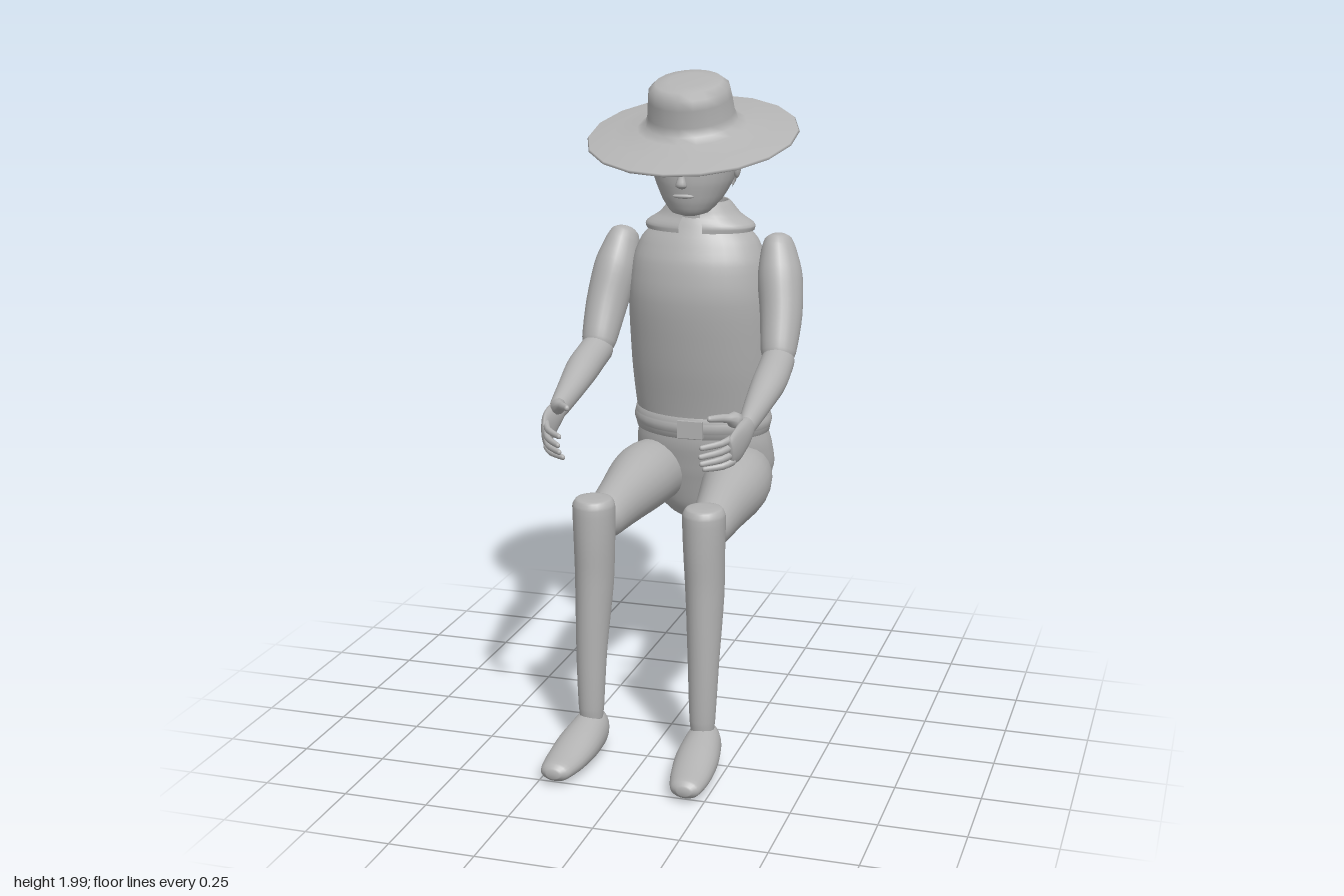
import * as THREE from 'three';

const grey = new THREE.MeshStandardMaterial({ color: 0xb2b2b2, side: THREE.DoubleSide });
grey.name = 'plain grey';
const UP = new THREE.Vector3(0, 1, 0);

// Smooth skin over elliptical sections [x, y, z, halfWidth, halfDepth].
// axis: fixed ring normal, otherwise rings follow the path. round: bulge of the end caps.
// gap: opening at the front of the rings, which also leaves the ends open.
function loft(name, list, { axis, round = 0, gap = 0, sides = 24, steps = 4 } = {}) {
  let secs = list.map((s) => [...s]);
  if (round) {
    const end = (a, b) => {
      const d = new THREE.Vector3(a[0] - b[0], a[1] - b[1], a[2] - b[2]).normalize();
      const r = Math.min(a[3], a[4]) * round;
      return [[0.65, 0.78], [0.92, 0.42], [1, 0.1]].map(([o, k]) =>
        [a[0] + d.x * r * o, a[1] + d.y * r * o, a[2] + d.z * r * o, a[3] * k, a[4] * k]);
    };
    const n = secs.length;
    secs = [...end(secs[0], secs[1]).reverse(), ...secs, ...end(secs[n - 1], secs[n - 2])];
  }
  const path = new THREE.CatmullRomCurve3(secs.map((s) => new THREE.Vector3(s[0], s[1], s[2])));
  const radii = new THREE.CatmullRomCurve3(secs.map((s) => new THREE.Vector3(s[3], s[4], 0)));
  const rings = (secs.length - 1) * steps;
  const cols = gap ? sides + 1 : sides;
  const pos = [], index = [];
  for (let i = 0; i <= rings; i++) {
    const p = path.getPoint(i / rings), r = radii.getPoint(i / rings);
    const t = axis || path.getTangent(i / rings);
    const u = new THREE.Vector3(1, 0, 0).addScaledVector(t, -t.x).normalize();
    const v = new THREE.Vector3().crossVectors(t, u);
    for (let j = 0; j < cols; j++) {
      const a = -Math.PI / 2 + gap + (j / sides) * (Math.PI * 2 - gap * 2);
      const q = p.clone().addScaledVector(u, Math.cos(a) * r.x).addScaledVector(v, Math.sin(a) * r.y);
      pos.push(q.x, q.y, q.z);
    }
  }
  for (let i = 0; i < rings; i++) for (let j = 0; j < sides; j++) {
    const k = (j + 1) % cols, a = i * cols, b = a + cols;
    index.push(a + j, a + k, b + j, a + k, b + k, b + j);
  }
  if (!gap) {
    const c = pos.length / 3, last = rings * cols;
    const p0 = path.getPoint(0), p1 = path.getPoint(1);
    pos.push(p0.x, p0.y, p0.z, p1.x, p1.y, p1.z);
    for (let j = 0; j < sides; j++) {
      const k = (j + 1) % cols;
      index.push(c, k, j, c + 1, last + j, last + k);
    }
  }
  const g = new THREE.BufferGeometry();
  g.setAttribute('position', new THREE.Float32BufferAttribute(pos, 3));
  g.setIndex(index);
  g.computeVertexNormals();
  return mesh(name, g);
}

function mesh(name, geometry, x = 0, y = 0, z = 0) {
  const m = new THREE.Mesh(geometry, grey);
  m.name = name;
  m.position.set(x, y, z);
  return m;
}

function makeHat() {
  const profile = [[0, 0.163], [0.06, 0.163], [0.1, 0.158], [0.121, 0.14], [0.126, 0.11], [0.131, 0.06],
    [0.14, 0.035], [0.165, 0.022], [0.24, 0.008], [0.315, -0.004], [0.319, -0.01], [0.313, -0.014],
    [0.22, -0.006], [0.13, 0.008], [0.11, 0.11], [0, 0.14]].reverse();
  const hat = mesh('hat', new THREE.LatheGeometry(profile.map(([x, y]) => new THREE.Vector2(x, y)), 18),
    0, 1.818, -0.215);
  hat.rotation.x = 0.27;
  return hat;
}

function makeHead() {
  const head = new THREE.Group();
  head.name = 'head';
  head.add(loft('skull', [
    [0, 1.572, -0.185, 0.02, 0.02], [0, 1.582, -0.19, 0.055, 0.055], [0, 1.62, -0.215, 0.09, 0.098],
    [0, 1.68, -0.235, 0.12, 0.13], [0, 1.75, -0.242, 0.132, 0.14], [0, 1.81, -0.238, 0.122, 0.125],
    [0, 1.86, -0.21, 0.07, 0.07]], { axis: UP }));
  // Hair wraps the back half of the skull
  head.add(loft('hair', [
    [0, 1.655, -0.231, 0.116, 0.126], [0, 1.67, -0.236, 0.124, 0.135], [0, 1.75, -0.244, 0.137, 0.144],
    [0, 1.81, -0.242, 0.127, 0.13]], { axis: UP, gap: 1.6 }));
  head.add(loft('nose', [[0, 1.735, -0.104, 0.007, 0.008], [0, 1.7, -0.099, 0.01, 0.013],
    [0, 1.672, -0.095, 0.017, 0.016], [0, 1.662, -0.104, 0.008, 0.008]], { axis: UP, sides: 10 }));
  const mouth = mesh('mouth', new THREE.SphereGeometry(1, 14, 8), 0, 1.638, -0.116);
  mouth.scale.set(0.034, 0.007, 0.009);
  head.add(mouth);
  for (const s of [1, -1]) {
    const eye = mesh('eye', new THREE.SphereGeometry(1, 12, 8), s * 0.05, 1.715, -0.116);
    eye.scale.set(0.021, 0.008, 0.01);
    const ear = mesh('ear', new THREE.SphereGeometry(1, 12, 8), s * 0.128, 1.715, -0.25);
    ear.scale.set(0.012, 0.035, 0.022);
    head.add(eye, ear);
  }
  head.add(loft('neck', [[0, 1.48, -0.3, 0.085, 0.085], [0, 1.56, -0.295, 0.08, 0.08],
    [0, 1.66, -0.27, 0.08, 0.08]], { axis: UP }));
  return head;
}

function makeArm(s) {
  const arm = new THREE.Group();
  arm.name = s > 0 ? 'leftArm' : 'rightArm';
  arm.add(loft('upperArm', [
    [s * 0.248, 1.465, -0.298, 0.052, 0.064], [s * 0.262, 1.38, -0.265, 0.068, 0.078],
    [s * 0.277, 1.28, -0.222, 0.064, 0.07], [s * 0.284, 1.175, -0.165, 0.053, 0.054]], { round: 0.9 }));
  arm.add(loft('forearm', [
    [s * 0.286, 1.152, -0.155, 0.05, 0.05], [s * 0.291, 1.12, -0.05, 0.051, 0.05],
    [s * 0.289, 1.08, 0.08, 0.041, 0.04], [s * 0.287, 1.042, 0.21, 0.025, 0.031]], { round: 0.8 }));
  arm.add(loft('palm', [
    [s * 0.287, 1.04, 0.2, 0.023, 0.031], [s * 0.288, 1.027, 0.25, 0.022, 0.045],
    [s * 0.284, 1.01, 0.3, 0.016, 0.052], [s * 0.276, 1.0, 0.335, 0.012, 0.044]], { round: 0.8, sides: 16 }));
  // Four fingers fan downward and curl inward
  for (let i = 0; i < 4; i++) {
    const y = 1.035 - i * 0.023, reach = [0.075, 0.085, 0.075, 0.045][i];
    arm.add(loft('finger', [
      [s * 0.277, y, 0.325, 0.01, 0.011], [s * 0.255, y - 0.008, 0.33 + reach * 0.5, 0.009, 0.01],
      [s * 0.21, y - 0.014, 0.33 + reach, 0.007, 0.008]], { round: 1, sides: 10, steps: 3 }));
  }
  arm.add(loft('thumb', [
    [s * 0.275, 1.06, 0.24, 0.012, 0.013], [s * 0.252, 1.078, 0.28, 0.012, 0.013],
    [s * 0.212, 1.086, 0.332, 0.008, 0.009]], { round: 1, sides: 10, steps: 3 }));
  return arm;
}

function makeLeg(s) {
  const leg = new THREE.Group();
  leg.name = s > 0 ? 'leftLeg' : 'rightLeg';
  leg.add(loft('thigh', [
    [s * 0.135, 0.74, -0.3, 0.1, 0.1], [s * 0.148, 0.742, -0.2, 0.104, 0.106],
    [s * 0.157, 0.725, 0, 0.078, 0.086], [s * 0.163, 0.708, 0.15, 0.06, 0.066]], { round: 0.75 }));
  leg.add(loft('shin', [
    [s * 0.168, 0.797, 0.232, 0.025, 0.028], [s * 0.168, 0.793, 0.232, 0.052, 0.055],
    [s * 0.168, 0.77, 0.232, 0.063, 0.066], [s * 0.168, 0.66, 0.228, 0.06, 0.072],
    [s * 0.17, 0.53, 0.225, 0.056, 0.072], [s * 0.173, 0.33, 0.248, 0.046, 0.05],
    [s * 0.173, 0.15, 0.257, 0.038, 0.039], [s * 0.173, 0.11, 0.257, 0.034, 0.034]], { axis: UP }));
  leg.add(loft('foot', [
    [s * 0.172, 0.075, 0.207, 0.02, 0.03], [s * 0.173, 0.074, 0.216, 0.042, 0.055],
    [s * 0.176, 0.071, 0.25, 0.054, 0.064], [s * 0.183, 0.06, 0.35, 0.064, 0.053],
    [s * 0.191, 0.048, 0.45, 0.058, 0.038], [s * 0.196, 0.044, 0.515, 0.044, 0.028],
    [s * 0.197, 0.043, 0.533, 0.02, 0.013]], { axis: new THREE.Vector3(0, 0, 1) }));
  return leg;
}

export function createModel() {
  const model = new THREE.Group();
  model.name = 'seatedFigure';
  model.add(makeHat(), makeHead());

  // Torso, collar and pelvis
  model.add(loft('torso', [
    [0, 0.89, -0.338, 0.2, 0.122], [0, 0.95, -0.335, 0.212, 0.13], [0, 1.1, -0.318, 0.222, 0.147],
    [0, 1.3, -0.294, 0.223, 0.154], [0, 1.42, -0.293, 0.21, 0.142], [0, 1.49, -0.298, 0.182, 0.12],
    [0, 1.545, -0.302, 0.125, 0.095], [0, 1.565, -0.3, 0.08, 0.08]], { axis: UP, sides: 32 }));
  model.add(loft('collar', [
    [0, 1.515, -0.301, 0.168, 0.112], [0, 1.53, -0.301, 0.172, 0.113], [0, 1.565, -0.3, 0.125, 0.1],
    [0, 1.605, -0.297, 0.088, 0.088], [0, 1.575, -0.297, 0.082, 0.082]], { axis: UP, gap: 0.22, sides: 32 }));
  model.add(loft('pelvis', [
    [0, 0.582, -0.385, 0.05, 0.05], [0, 0.586, -0.385, 0.1, 0.085], [0, 0.63, -0.385, 0.155, 0.115],
    [0, 0.7, -0.385, 0.2, 0.135], [0, 0.77, -0.375, 0.222, 0.143], [0, 0.84, -0.355, 0.217, 0.138],
    [0, 0.91, -0.34, 0.2, 0.125]], { axis: UP, sides: 32 }));

  // Belt and buckle, slightly lower at the front
  const belt = loft('belt', [
    [0, -0.018, 0, 0.2, 0.125], [0, -0.018, 0, 0.217, 0.139], [0, 0, 0, 0.221, 0.143],
    [0, 0.018, 0, 0.217, 0.139], [0, 0.018, 0, 0.2, 0.125]], { axis: UP, sides: 32 });
  belt.position.set(0, 0.915, -0.339);
  belt.rotation.x = 0.09;
  model.add(belt, mesh('buckle', new THREE.BoxGeometry(0.08, 0.054, 0.025), 0, 0.903, -0.2));

  for (const s of [1, -1]) model.add(makeArm(s), makeLeg(s));
  return model;
}
